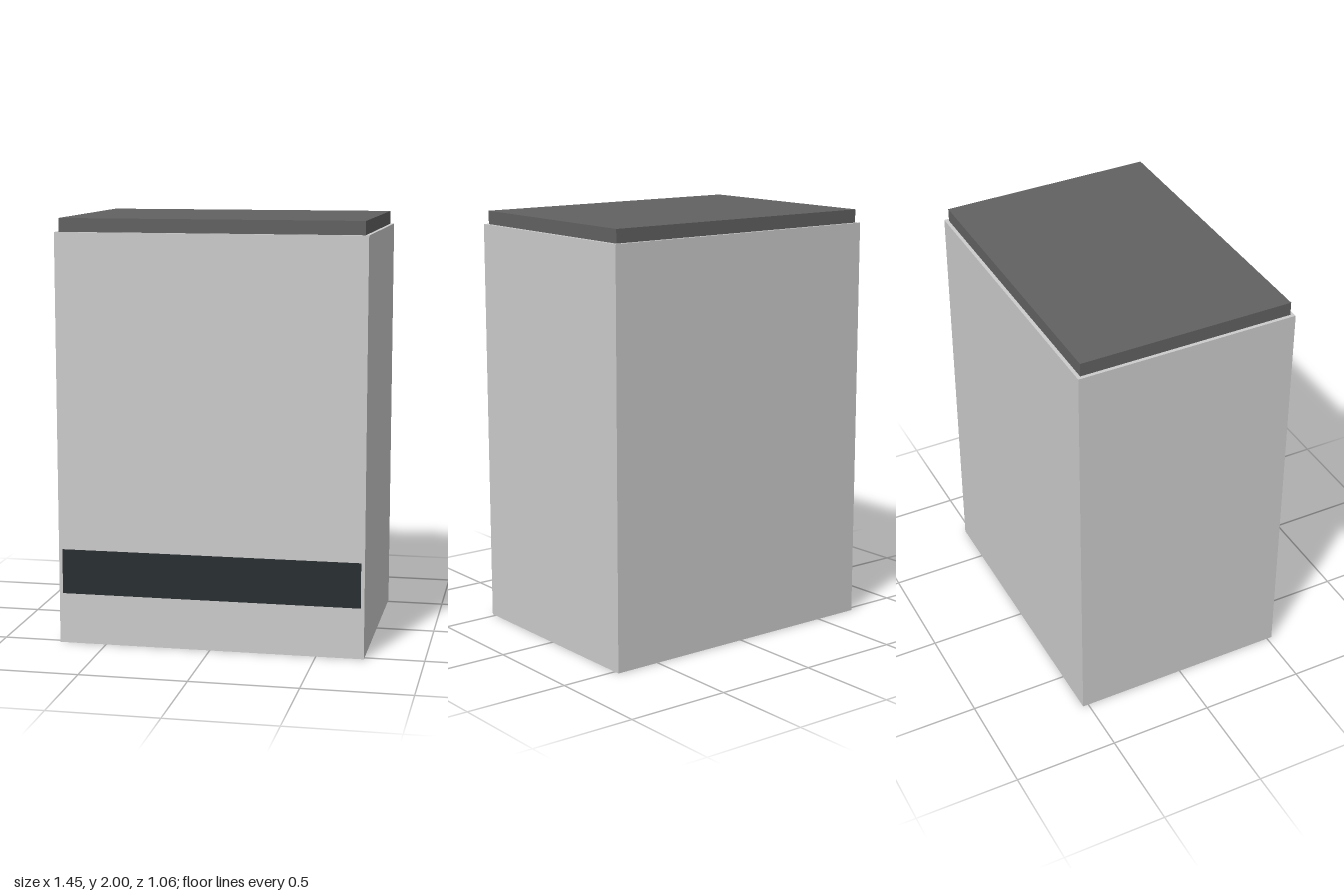
import * as THREE from 'three';

// Box spanning the given width, y range and z range, centred on x
function block(name, width, [y0, y1], [z0, z1], color) {
  const mesh = new THREE.Mesh(
    new THREE.BoxGeometry(width, y1 - y0, z1 - z0),
    new THREE.MeshStandardMaterial({ color })
  );
  mesh.name = name;
  mesh.position.set(0, (y0 + y1) / 2, (z0 + z1) / 2);
  return mesh;
}

export function createModel() {
  const model = new THREE.Group();
  model.name = 'cabinet';

  // Main cabinet
  model.add(block('body', 1.446, [0, 1.937], [-0.528, 0.525], 0xcccccc));

  // Slightly inset dark top
  model.add(block('topPanel', 1.412, [1.937, 2], [-0.511, 0.508], 0x626262));

  // Thin dark strip standing just proud of the front
  model.add(block('frontStrip', 1.412, [0.24, 0.452], [0.525, 0.528], 0x292e31));

  return model;
}
